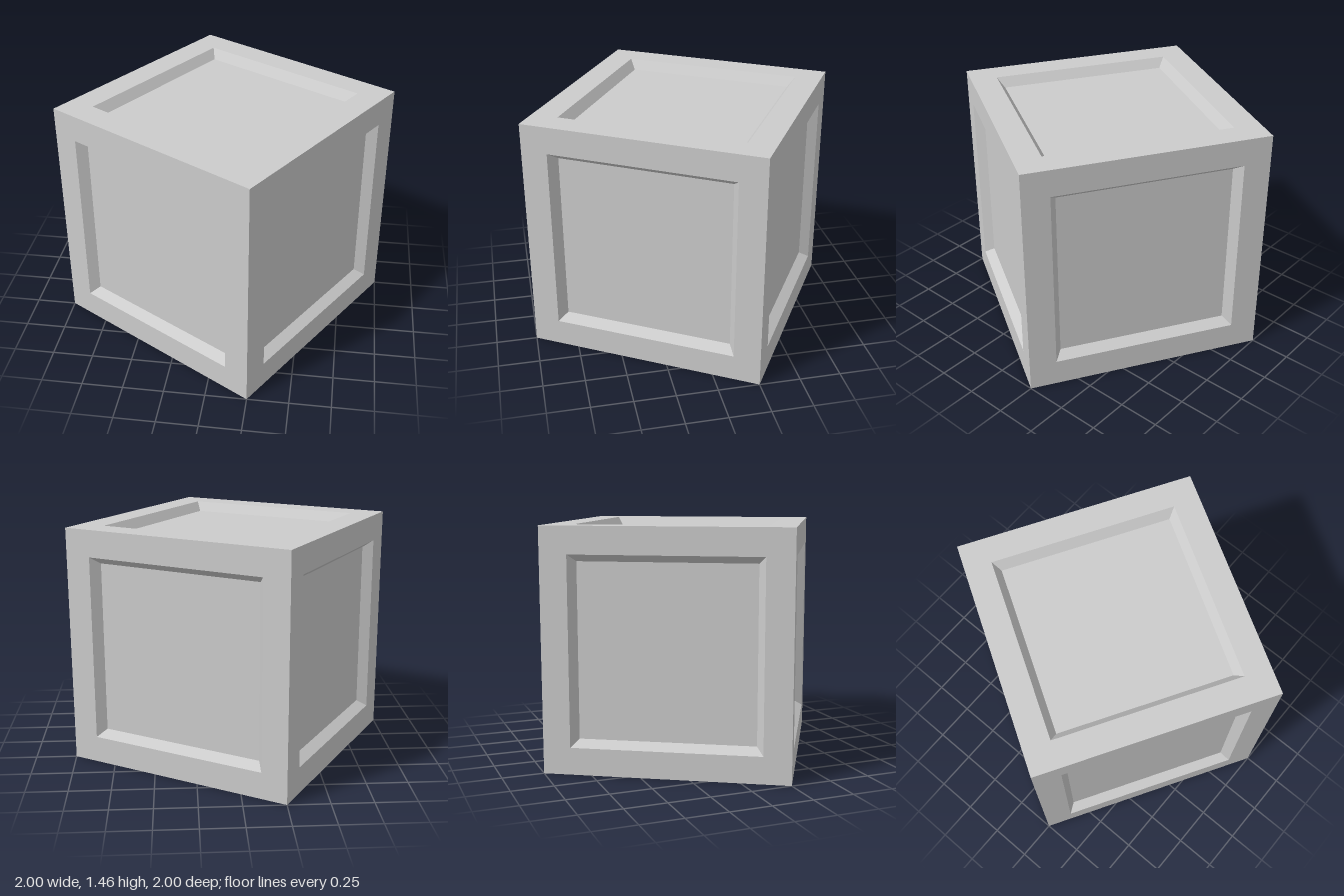
import * as THREE from 'three';

const HALF = 0.729;            // half the cube's edge
const RIM = 0.566;             // half width of the recess at the surface
const FLOOR = 0.524;           // half width of the recess floor
const DEPTH = 0.058;

// One cube side facing +z: flat border, sloped recess walls and floor
function sideGeometry() {
  const rings = [[HALF, HALF], [RIM, HALF], [FLOOR, HALF - DEPTH]];
  const corners = [[-1, -1], [1, -1], [1, 1], [-1, 1]];
  const positions = [];
  const index = [];
  for (const [r, z] of rings) {
    for (const [x, y] of corners) positions.push(x * r, y * r, z);
  }
  for (let ring = 0; ring < rings.length - 1; ring++) {
    for (let i = 0; i < 4; i++) {
      const a = ring * 4 + i;
      const b = ring * 4 + (i + 1) % 4;
      index.push(a, b, b + 4, a, b + 4, a + 4);
    }
  }
  index.push(8, 9, 10, 8, 10, 11);
  const indexed = new THREE.BufferGeometry();
  indexed.setAttribute('position', new THREE.Float32BufferAttribute(positions, 3));
  indexed.setIndex(index);
  const geometry = indexed.toNonIndexed();
  geometry.computeVertexNormals();
  return geometry;
}

export function createModel() {
  const model = new THREE.Group();
  model.name = 'panelledCube';
  const material = new THREE.MeshStandardMaterial({ color: 0xcccccc, flatShading: true });
  const geometry = sideGeometry();

  // Six identical sides, turned outwards
  const quarter = Math.PI / 2;
  const sides = [
    ['frontPanel', 0, 0], ['leftPanel', 0, quarter],
    ['backPanel', 0, 2 * quarter], ['rightPanel', 0, -quarter],
    ['topPanel', -quarter, 0], ['bottomPanel', quarter, 0],
  ];
  for (const [name, rx, ry] of sides) {
    const side = new THREE.Mesh(geometry, material);
    side.name = name;
    side.rotation.set(rx, ry, 0);
    model.add(side);
  }

  // The cube stands turned about its vertical axis
  model.rotation.y = -Math.atan2(0.75, 1.25);
  model.position.y = HALF;
  return model;
}
